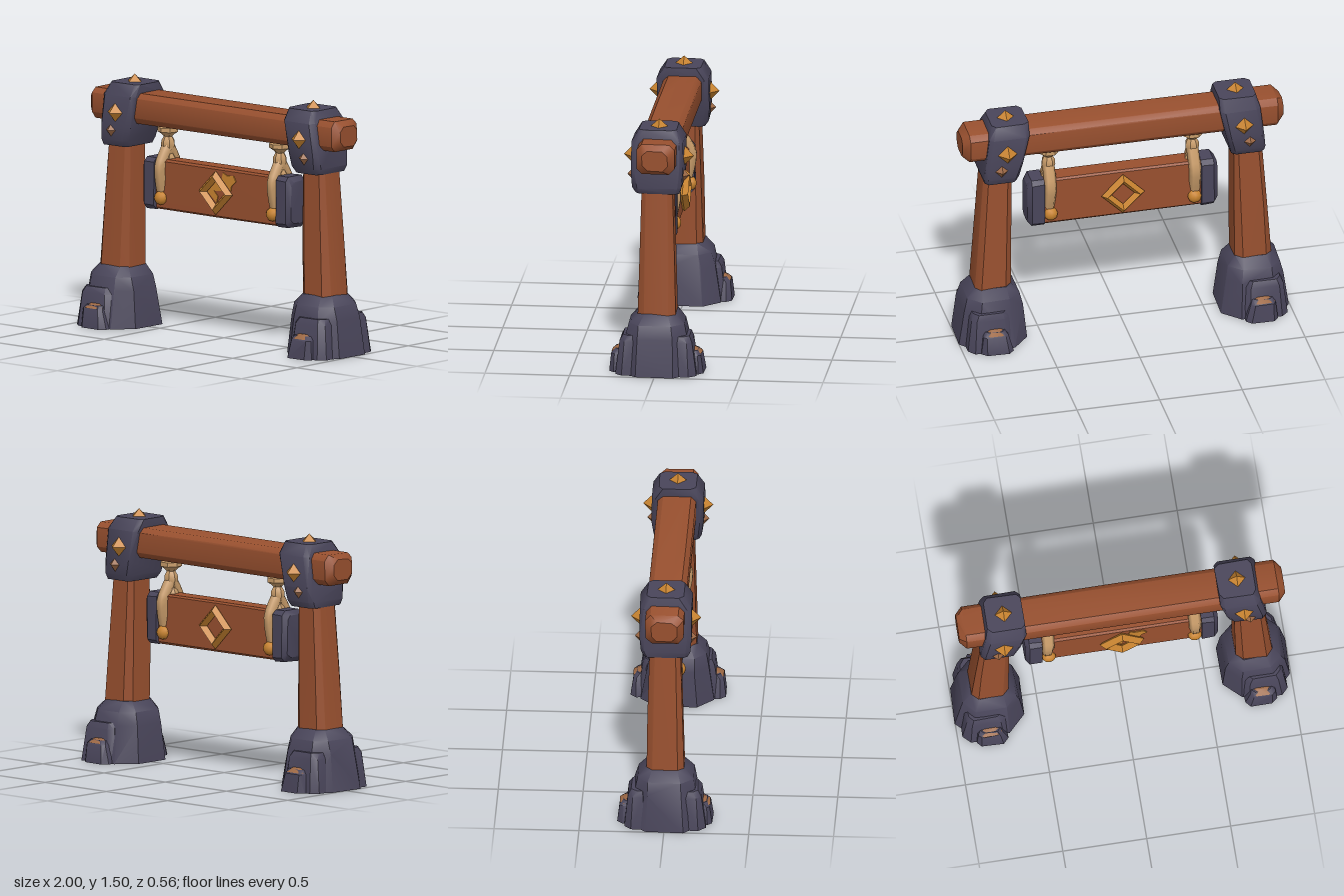
import * as THREE from 'three';
import { toCreasedNormals } from 'three/addons/utils/BufferGeometryUtils.js';
import { ConvexGeometry } from 'three/addons/geometries/ConvexGeometry.js';

const mat = (name, color) => {
  const m = new THREE.MeshStandardMaterial({ color });
  m.name = name;
  return m;
};

export function createModel() {
  const wood = mat('wood', 0x98502f);
  const stone = mat('stone', 0x49455a);
  const gold = mat('gold', 0xc98430);
  const rope = mat('rope', 0xc89c6a);
  const chip = mat('chipped stone', 0x9c6844);
  const model = new THREE.Group();
  model.name = 'hangingSignGate';

  const add = (name, geometry, material, x = 0, y = 0, z = 0) => {
    const mesh = new THREE.Mesh(geometry, material);
    mesh.name = name;
    mesh.position.set(x, y, z);
    model.add(mesh);
    return mesh;
  };

  // Small seeded noise for hand-hewn edges
  let seed = 7;
  const noise = () => {
    seed = (seed * 16807) % 2147483647;
    return seed / 2147483647 - 0.5;
  };

  // Solid hull through chamfered rectangles: [height, centreX, centreZ, halfX, halfZ, chamfer]
  const hewn = (rings, rough = 0, crease = 0.6) => {
    const points = [];
    for (const [y, cx, cz, hx, hz, c] of rings) {
      for (const sx of [-1, 1]) for (const sz of [-1, 1]) {
        for (const [px, pz] of [[hx, hz - c], [hx - c, hz]]) {
          points.push(new THREE.Vector3(
            cx + sx * px + noise() * rough, y, cz + sz * pz + noise() * rough));
        }
      }
    }
    return toCreasedNormals(new ConvexGeometry(points), crease);
  };

  // Four-sided stud pointing along +y, +z or -z
  const stud = (name, r, h, material, x, y, z, dir) => {
    const g = new THREE.ConeGeometry(r, h, 4).translate(0, h / 2, 0);
    if (dir) g.rotateX(dir * Math.PI / 2);
    const mesh = add(name, toCreasedNormals(g, 0.3), material, x, y, z);
    return mesh;
  };

  // Cross beam, hewn along x with blunt tapered ends
  const beam = hewn([
    [-0.97, 0, 0, 0.06, 0.075, 0.03],
    [-0.93, 0, 0, 0.092, 0.113, 0.035],
    [0, 0, 0, 0.09, 0.11, 0.025],
    [0.93, 0, 0, 0.092, 0.113, 0.035],
    [0.97, 0, 0, 0.06, 0.075, 0.03],
  ], 0.008).rotateZ(-Math.PI / 2);
  add('crossBeam', beam, wood, 0, 1.315, 0);

  for (const s of [-1, 1]) {
    const side = s < 0 ? 'right' : 'left';

    // Stone footing
    add(side + 'Footing', hewn([
      [0, s * 0.793, 0, 0.205, 0.215, 0.1],
      [0.22, s * 0.793, 0, 0.176, 0.182, 0.08],
      [0.3, s * 0.79, 0, 0.158, 0.165, 0.07],
      [0.36, s * 0.785, 0, 0.108, 0.112, 0.04],
    ], 0.012, 0.7), stone);

    for (const f of [-1, 1]) {
      const face = f < 0 ? 'Back' : 'Front';
      // Stacked slabs leaning on the footing
      add(side + face + 'Slab', hewn([
        [0, s * 0.83, f * 0.16, 0.14, 0.08, 0.04],
        [0.2, s * 0.83, f * 0.155, 0.115, 0.06, 0.03],
        [0.235, s * 0.83, f * 0.145, 0.1, 0.05, 0.03],
      ], 0.008), stone);
      add(side + face + 'SmallSlab', hewn([
        [0, s * 0.8, f * 0.215, 0.095, 0.065, 0.03],
        [0.11, s * 0.81, f * 0.205, 0.075, 0.06, 0.02],
        [0.135, s * 0.81, f * 0.195, 0.06, 0.05, 0.02],
      ], 0.006), stone);
      add(side + face + 'ChippedTop', hewn([
        [0.118, s * 0.81, f * 0.208, 0.065, 0.058, 0.025],
        [0.144, s * 0.81, f * 0.195, 0.042, 0.036, 0.02],
      ], 0.006), chip);

      // Bracket studs
      stud(side + face + 'Stud', 0.064, 0.062, gold, s * 0.715, 1.285, f * 0.145, f);
      stud(side + face + 'SmallStud', 0.045, 0.04, chip, s * 0.75, 1.175, f * 0.143, f);
    }

    // Tapered post
    add(side + 'Post', hewn([
      [0.3, s * 0.79, 0, 0.113, 0.113, 0.04],
      [0.7, s * 0.773, 0, 0.097, 0.101, 0.03],
      [1.25, s * 0.75, 0, 0.082, 0.085, 0.025],
    ], 0.008), wood);

    // Stone bracket joining post and beam
    add(side + 'Bracket', hewn([
      [1.08, s * 0.748, 0, 0.098, 0.13, 0.025],
      [1.115, s * 0.744, 0, 0.109, 0.145, 0.025],
      [1.2, s * 0.73, 0, 0.115, 0.153, 0.025],
      [1.385, s * 0.698, 0, 0.122, 0.152, 0.025],
      [1.455, s * 0.688, 0, 0.112, 0.108, 0.025],
    ], 0.008, 0.75), stone);
    stud(side + 'TopStud', 0.062, 0.055, gold, s * 0.695, 1.445, 0, 0);

    // Stone end cap of the sign
    add(side + 'SignCap', hewn([
      [-0.05, 0, 0, 0.153, 0.082, 0.025],
      [0.025, 0, 0, 0.153, 0.082, 0.025],
      [0.05, 0, 0, 0.125, 0.06, 0.025],
    ], 0.006).rotateZ(-s * Math.PI / 2), stone, s * 0.525, 0.875, 0);

    // Knotted rope with a flared collar
    const profile = [
      [0, 0.96], [0.046, 0.97], [0.05, 1.02], [0.03, 1.055], [0.042, 1.1],
      [0.04, 1.13], [0.026, 1.155], [0.04, 1.17], [0.064, 1.185], [0.064, 1.21], [0, 1.225],
    ].map(([r, y]) => new THREE.Vector2(r, y));
    add(side + 'Rope', toCreasedNormals(new THREE.LatheGeometry(profile, 7), 0.6), rope, s * 0.435, 0, 0);

    for (const f of [-1, 1]) {
      const face = f < 0 ? 'Back' : 'Front';
      // Rope strand over the edge of the sign, and its peg
      const path = new THREE.CatmullRomCurve3([[1.1, 0], [1.04, 0.04], [0.98, 0.068], [0.9, 0.06], [0.84, 0.045]]
        .map(([y, z]) => new THREE.Vector3(s * (0.435 + (1.1 - y) * 0.02), y, f * z)));
      add(side + face + 'Strand', new THREE.TubeGeometry(path, 8, 0.037, 6), rope);
      const peg = add(side + face + 'Peg', new THREE.IcosahedronGeometry(0.042, 1), gold, s * 0.435, 0.795, f * 0.068);
      peg.scale.z = 0.8;
    }
  }

  // Hanging sign board
  add('signBoard', hewn([
    [-0.5, 0, 0, 0.15, 0.062, 0.012],
    [0, 0, 0, 0.15, 0.06, 0.012],
    [0.5, 0, 0, 0.15, 0.062, 0.012],
  ], 0.004).rotateZ(-Math.PI / 2), wood, 0, 0.875, 0);

  // Diamond frames on both faces
  for (const f of [-1, 1]) {
    const frame = toCreasedNormals(new THREE.TorusGeometry(0.1, 0.032, 4, 4), 0.3);
    add(f < 0 ? 'backDiamond' : 'frontDiamond', frame, gold, 0, 0.875, f * 0.075);
  }

  // Worn gilding in and beside the front frame
  const plate = (name, pts) => {
    const shape = new THREE.Shape(pts.map(([x, y]) => new THREE.Vector2(x, y)));
    add(name, new THREE.ExtrudeGeometry(shape, { depth: 0.008, bevelEnabled: false }), gold, 0, 0.875, 0.06);
  };
  plate('innerGilding', [[-0.07, 0], [0, -0.06], [0.01, -0.02], [-0.02, 0.01], [0.06, 0.015], [0, 0.07]]);
  plate('outerGilding', [[0.04, 0.09], [0.11, 0.02], [0.115, 0.05], [0.15, 0.08], [0.13, 0.115], [0.08, 0.11], [0.05, 0.125]]);

  return model;
}
